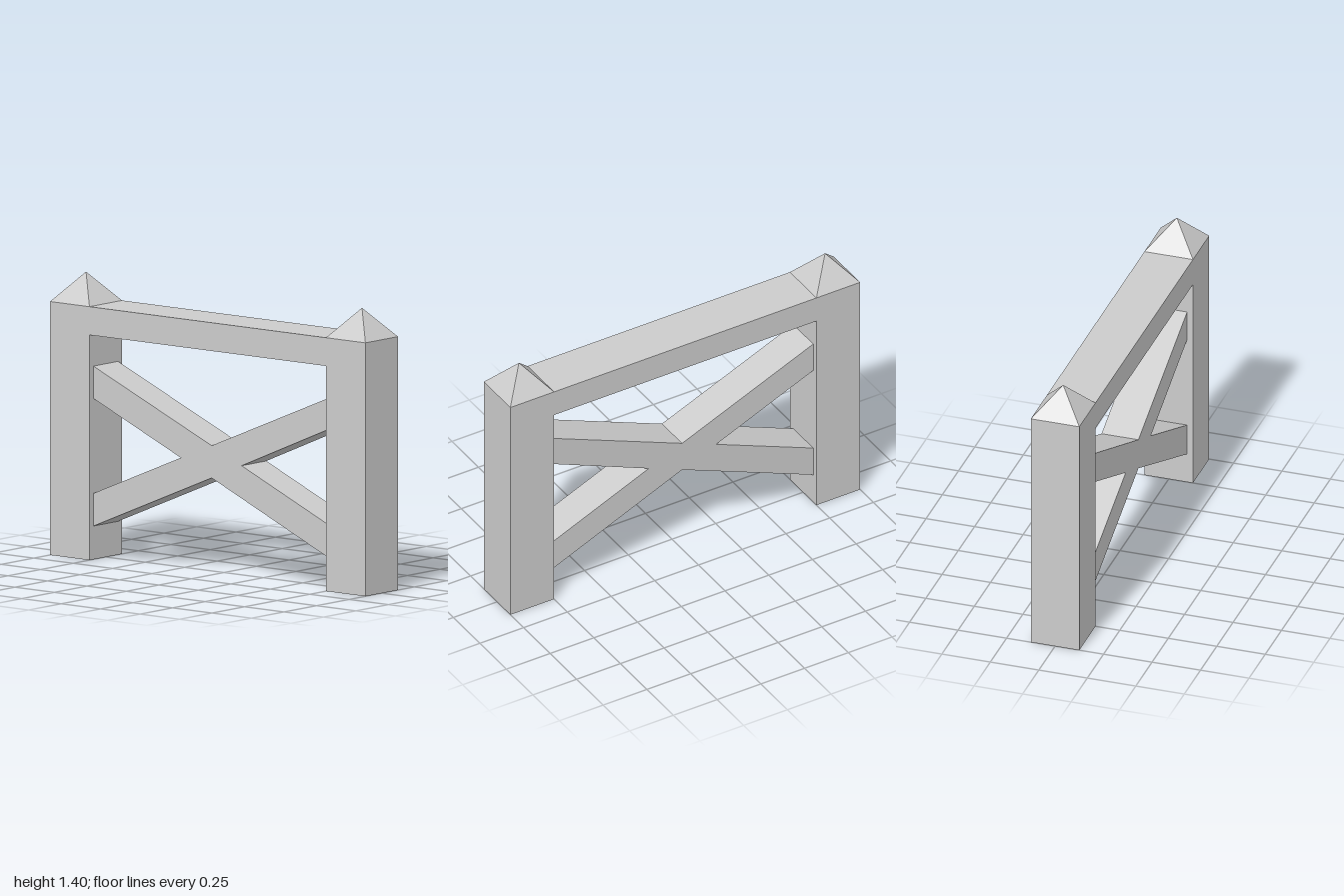
import * as THREE from 'three';

export function createModel() {
  const group = new THREE.Group();
  const material = new THREE.MeshStandardMaterial({ color: 0xcccccc, flatShading: true });
  const size = 0.25, postTop = 1.255, capHeight = 0.145, railHeight = 0.14;
  const inner = 1 - size, braceDepth = 0.19;

  const add = (name, geometry, x, y, z = 0) => {
    const mesh = new THREE.Mesh(geometry, material);
    mesh.name = name;
    mesh.position.set(x, y, z);
    group.add(mesh);
  };

  // Square posts with pyramid caps
  for (const [side, s] of [['left', 1], ['right', -1]]) {
    const x = s * (1 - size / 2);
    add(side + 'Post', new THREE.BoxGeometry(size, postTop, size), x, postTop / 2);
    const cap = new THREE.ConeGeometry(size / Math.SQRT2, capHeight, 4).rotateY(Math.PI / 4);
    add(side + 'PostCap', cap, x, postTop + capHeight / 2);
  }

  // Top rail, flush with the posts
  add('topRail', new THREE.BoxGeometry(inner * 2, railHeight, size), 0, postTop - railHeight / 2);

  // Crossed braces as one X-shaped outline, slightly thinner than the posts
  const outline = [
    [-inner, 0.165], [0, 0.48], [inner, 0.157], [inner, 0.32], [0.19, 0.56], [inner, 0.80],
    [inner, 0.955], [0, 0.64], [-inner, 0.957], [-inner, 0.797], [-0.195, 0.56], [-inner, 0.327],
  ];
  const shape = new THREE.Shape(outline.map(([x, y]) => new THREE.Vector2(x, y)));
  const brace = new THREE.ExtrudeGeometry(shape, { depth: braceDepth, bevelEnabled: false });
  add('crossBrace', brace, 0, 0, -braceDepth / 2);

  return group;
}
